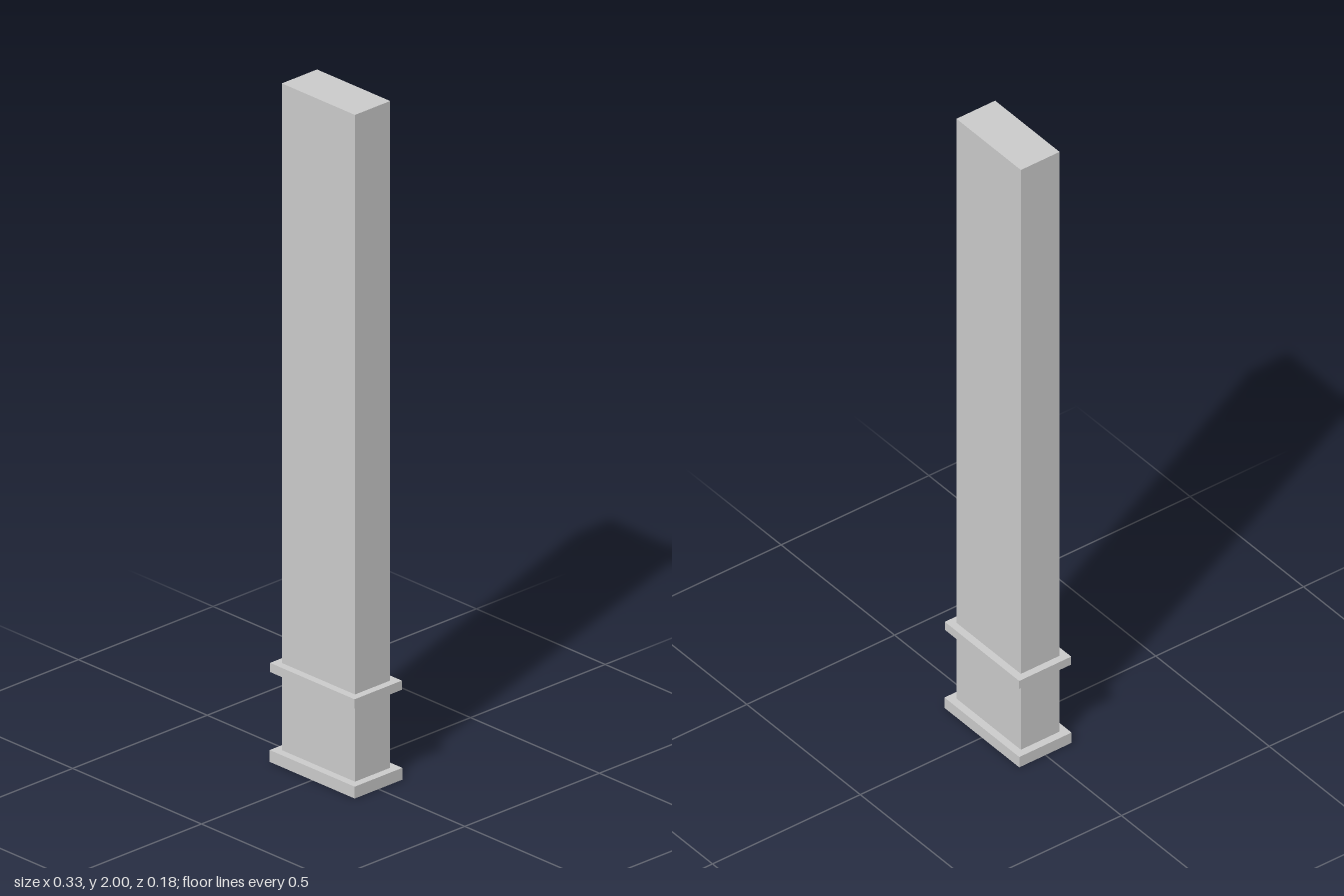
import * as THREE from 'three';

export function createModel() {
  const group = new THREE.Group();
  const material = new THREE.MeshStandardMaterial({ color: 0xcccccc, flatShading: true });

  // Box spanning the heights y0 to y1, centred on the axis
  function addBlock(name, width, depth, y0, y1) {
    const mesh = new THREE.Mesh(new THREE.BoxGeometry(width, y1 - y0, depth), material);
    mesh.position.y = (y0 + y1) / 2;
    mesh.name = name;
    group.add(mesh);
  }

  // Base plinth, lower pedestal, projecting band and tall shaft
  addBlock('plinth', 0.33, 0.177, 0, 0.035);
  addBlock('pedestal', 0.284, 0.131, 0.035, 0.265);
  addBlock('band', 0.328, 0.176, 0.265, 0.292);
  addBlock('shaft', 0.284, 0.131, 0.292, 2);

  return group;
}
